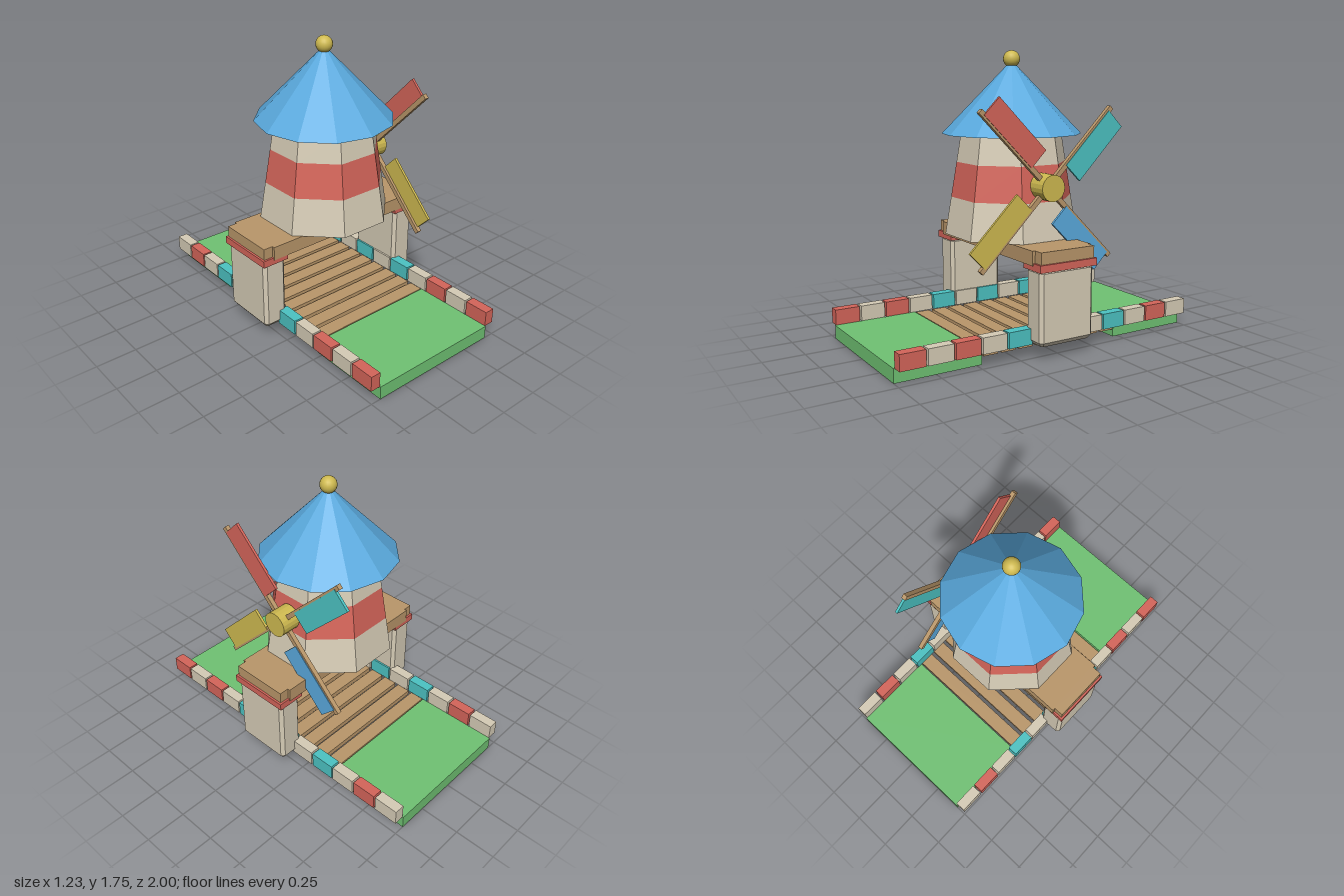
import * as THREE from 'three';
import { ConvexGeometry } from 'three/addons/geometries/ConvexGeometry.js';

const mat = (name, color) => {
  const m = new THREE.MeshStandardMaterial({ color });
  m.name = name;
  return m;
};

export function createModel() {
  const root = new THREE.Group();
  root.name = 'windmillBridge';

  const stone = mat('stone', 0xd6ccb6);
  const red = mat('red', 0xd5655a);
  const blue = mat('blue', 0x5aaade);
  const green = mat('green', 0x70c273);
  const wood = mat('wood', 0xba976a);
  const yellow = mat('yellow', 0xcfba50);
  const teal = mat('teal', 0x4cc3c3);

  const add = (parent, name, geo, material, x = 0, y = 0, z = 0) => {
    const mesh = new THREE.Mesh(geo, material);
    mesh.name = name;
    mesh.position.set(x, y, z);
    parent.add(mesh);
    return mesh;
  };
  // box given by its min and max on each axis
  const box = (parent, name, material, x0, x1, y0, y1, z0, z1) =>
    add(parent, name, new THREE.BoxGeometry(x1 - x0, y1 - y0, z1 - z0), material,
      (x0 + x1) / 2, (y0 + y1) / 2, (z0 + z1) / 2);
  // faceted geometry with hard edges
  const faceted = (geo) => {
    const g = geo.toNonIndexed();
    g.computeVertexNormals();
    return g;
  };

  // grass slabs at both ends
  box(root, 'frontGrass', green, -0.435, 0.435, 0, 0.083, 0.465, 1);
  box(root, 'backGrass', green, -0.435, 0.435, 0, 0.083, -1, -0.465);

  // plank deck between the slabs
  for (let i = 0; i < 8; i++) {
    const z = 0.41 - i * (0.82 / 7);
    box(root, 'deckPlank', wood, -0.437, 0.437, 0.047, 0.08, z - 0.046, z + 0.046);
  }

  // kerb blocks along both sides
  for (const s of [-1, 1]) {
    for (let i = 0; i < 12; i++) {
      const z = 1 - (i + 0.5) / 6;
      const material = i % 2 ? stone : i >= 4 && i <= 8 ? teal : red;
      add(root, 'kerbBlock', new THREE.BoxGeometry(0.065, 0.095, 0.155), material, s * 0.4675, 0.13, z);
    }
  }

  // pier with chamfered upright and lower edges
  const ring = (w, d, c, y) => {
    const pts = [];
    for (const sx of [-1, 1]) for (const sz of [-1, 1]) {
      pts.push(new THREE.Vector3(sx * w, y, sz * (d - c)), new THREE.Vector3(sx * (w - c), y, sz * d));
    }
    return pts;
  };
  const pierGeo = new ConvexGeometry([
    ...ring(0.058, 0.163, 0.01, 0.087),
    ...ring(0.077, 0.183, 0.02, 0.113),
    ...ring(0.077, 0.183, 0.02, 0.512),
  ]);
  for (const s of [-1, 1]) {
    add(root, 'pier', pierGeo, stone, s * 0.524, 0, 0);
    add(root, 'pierCap', new THREE.BoxGeometry(0.176, 0.044, 0.39), red, s * 0.525, 0.543, 0);
    add(root, 'beamEnd', new THREE.BoxGeometry(0.07, 0.085, 0.365), wood, s * 0.565, 0.5925, 0);
  }
  box(root, 'beam', wood, -0.54, 0.54, 0.55, 0.635, -0.2, 0.2);

  // eight-sided tapering tower with a painted band
  const radius = (y) => 0.41 - 0.1 * (y - 0.637) / 0.613;
  const tower = (name, material, y0, y1, open) =>
    add(root, name, faceted(new THREE.CylinderGeometry(radius(y1), radius(y0), y1 - y0, 8, 1, open, Math.PI / 8)),
      material, 0, (y0 + y1) / 2, 0);
  tower('lowerTower', stone, 0.637, 0.865, false);
  tower('towerBand', red, 0.865, 1.078, true);
  tower('upperTower', stone, 1.078, 1.252, true);

  // roof and finial
  add(root, 'roof', faceted(new THREE.ConeGeometry(0.425, 0.44, 12)), blue, 0, 1.467, 0);
  add(root, 'finial', new THREE.SphereGeometry(0.051, 20, 14), yellow, 0, 1.695, 0);

  // sail wheel on the left side, facing +x
  const wheel = new THREE.Group();
  wheel.name = 'sailWheel';
  wheel.position.set(0, 0.96, 0);
  root.add(wheel);
  const hub = add(wheel, 'hub', faceted(new THREE.CylinderGeometry(0.078, 0.078, 0.127, 20)), yellow, 0.39, 0, 0);
  hub.rotation.z = -Math.PI / 2;
  // arms start at the upper front and go clockwise as seen from +x
  [red, teal, blue, yellow].forEach((material, i) => {
    const arm = new THREE.Group();
    arm.name = 'sailArm';
    arm.rotation.x = Math.PI / 4 - i * Math.PI / 2;
    wheel.add(arm);
    box(arm, 'spar', wood, 0.378, 0.406, 0, 0.635, -0.015, 0.015);
    box(arm, 'sail', material, 0.394, 0.41, 0.17, 0.605, -0.136, 0.002);
  });

  return root;
}
